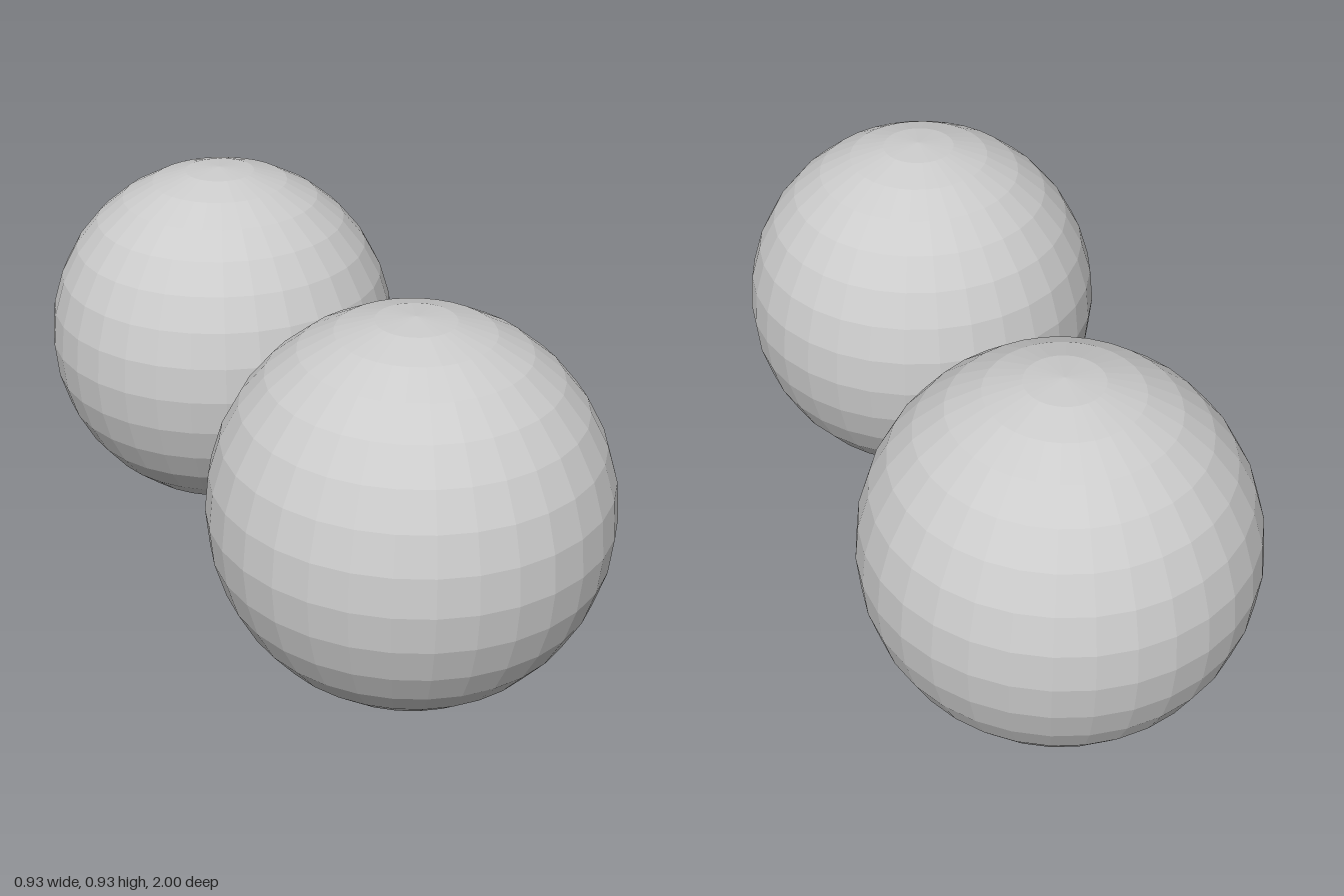
import * as THREE from 'three';

const RADIUS = 0.467;
const OFFSET = 1 - RADIUS;

export function createModel() {
  const group = new THREE.Group();
  const faceted = new THREE.MeshStandardMaterial({ color: 0xcccccc, flatShading: true });
  const smooth = new THREE.MeshStandardMaterial({ color: 0xcccccc });

  // Two equal faceted balls, front and back
  const ball = new THREE.SphereGeometry(RADIUS, 32, 16);
  for (const [name, side] of [['frontBall', 1], ['backBall', -1]]) {
    const mesh = new THREE.Mesh(ball, faceted);
    mesh.name = name;
    mesh.position.set(0, RADIUS, side * OFFSET);
    group.add(mesh);
  }

  // Thin rod joining the balls, its ends sunk just inside them
  const rod = new THREE.Mesh(new THREE.CylinderGeometry(0.04, 0.04, 0.2, 32), smooth);
  rod.name = 'connectingRod';
  rod.rotation.x = Math.PI / 2;
  rod.position.y = RADIUS;
  group.add(rod);

  return group;
}
